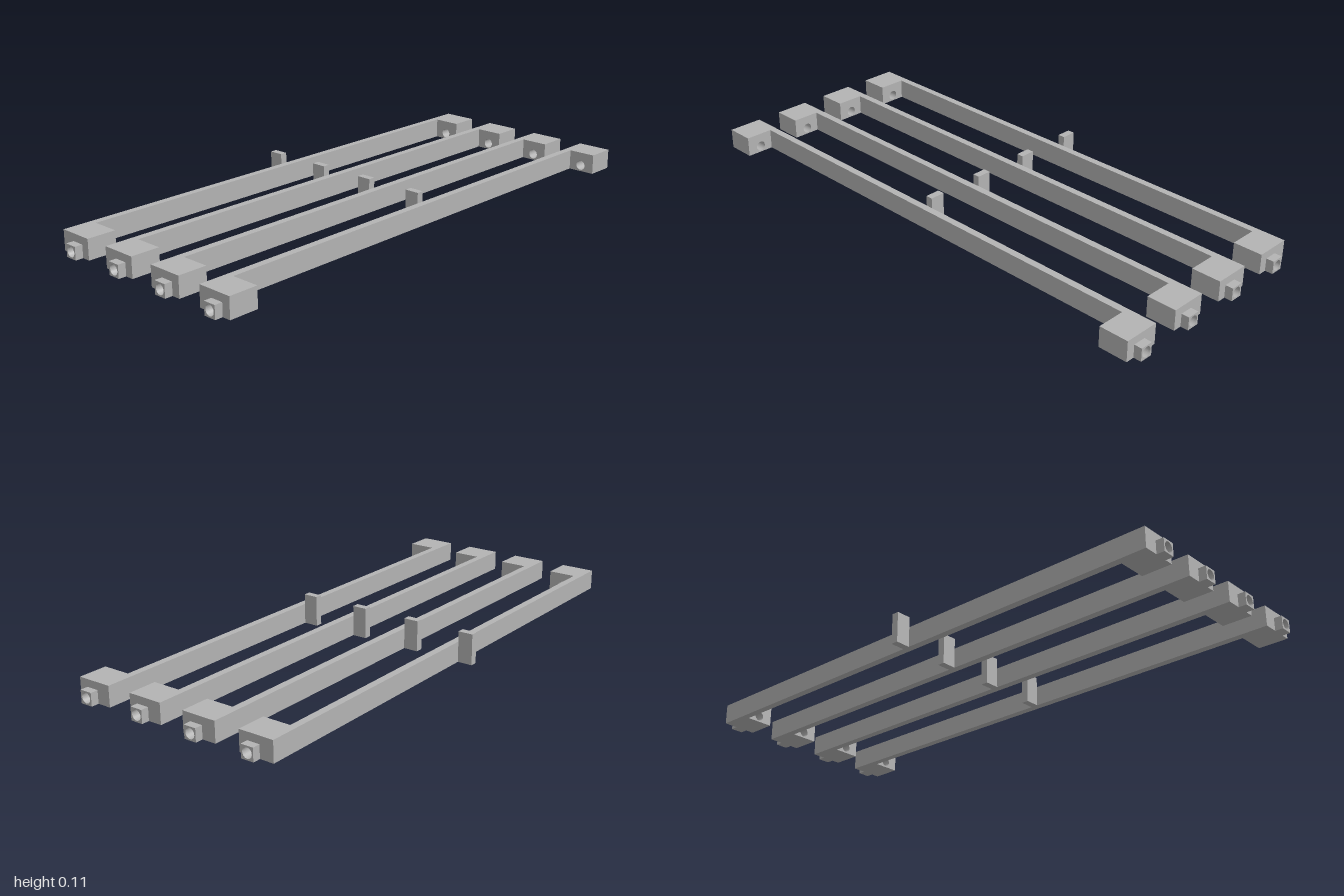
import * as THREE from 'three';

const GREY = new THREE.MeshStandardMaterial({ color: 0xb3b3b3 });
GREY.name = 'grey plastic';

// Sizes of one rail, measured from the outer face of its bar
const HOLE = { x: 0.074, y: 0.023, r: 0.018 };
const BLOCK_IN = 0.866, BLOCK_OUT = 0.972, END = 1;
const HEIGHT = 0.073, BAR = 0.026;

function box(name, x0, x1, y0, y1, z0, z1) {
  const mesh = new THREE.Mesh(new THREE.BoxGeometry(x1 - x0, y1 - y0, z1 - z0), GREY);
  mesh.position.set((x0 + x1) / 2, (y0 + y1) / 2, (z0 + z1) / 2);
  mesh.name = name;
  return mesh;
}

// Rectangular block bored lengthwise by the round hole
function boredBlock(name, x0, x1, y1, z0, z1) {
  const shape = new THREE.Shape();
  shape.moveTo(x0, 0);
  shape.lineTo(x1, 0);
  shape.lineTo(x1, y1);
  shape.lineTo(x0, y1);
  shape.closePath();
  const hole = new THREE.Path();
  hole.absarc(HOLE.x, HOLE.y, HOLE.r, 0, Math.PI * 2, true);
  shape.holes.push(hole);
  const geo = new THREE.ExtrudeGeometry(shape, { depth: z1 - z0, bevelEnabled: false, curveSegments: 16 });
  const mesh = new THREE.Mesh(geo, GREY);
  mesh.position.z = z0;
  mesh.name = name;
  return mesh;
}

function createRail() {
  const rail = new THREE.Group();
  rail.name = 'rail';
  rail.add(box('bar', 0, BAR, 0, HEIGHT, -BLOCK_IN, BLOCK_IN));
  // Upright tab at mid length, on the outer side
  rail.add(box('tab', -0.054, 0, 0, 0.11, -0.013, 0.013));
  // End blocks and their square hollow spigots
  for (const [end, s] of [['front', 1], ['back', -1]]) {
    const span = (a, b) => (s > 0 ? [a, b] : [-b, -a]);
    rail.add(boredBlock(end + 'Block', 0, 0.128, HEIGHT, ...span(BLOCK_IN, BLOCK_OUT)));
    rail.add(boredBlock(end + 'Spigot', 0.051, 0.097, 0.046, ...span(BLOCK_OUT, END)));
  }
  return rail;
}

export function createModel() {
  const model = new THREE.Group();
  model.name = 'railSet';
  for (let i = 0; i < 4; i++) {
    const rail = createRail();
    rail.position.x = -0.369 + i * 0.2207;
    model.add(rail);
  }
  return model;
}
